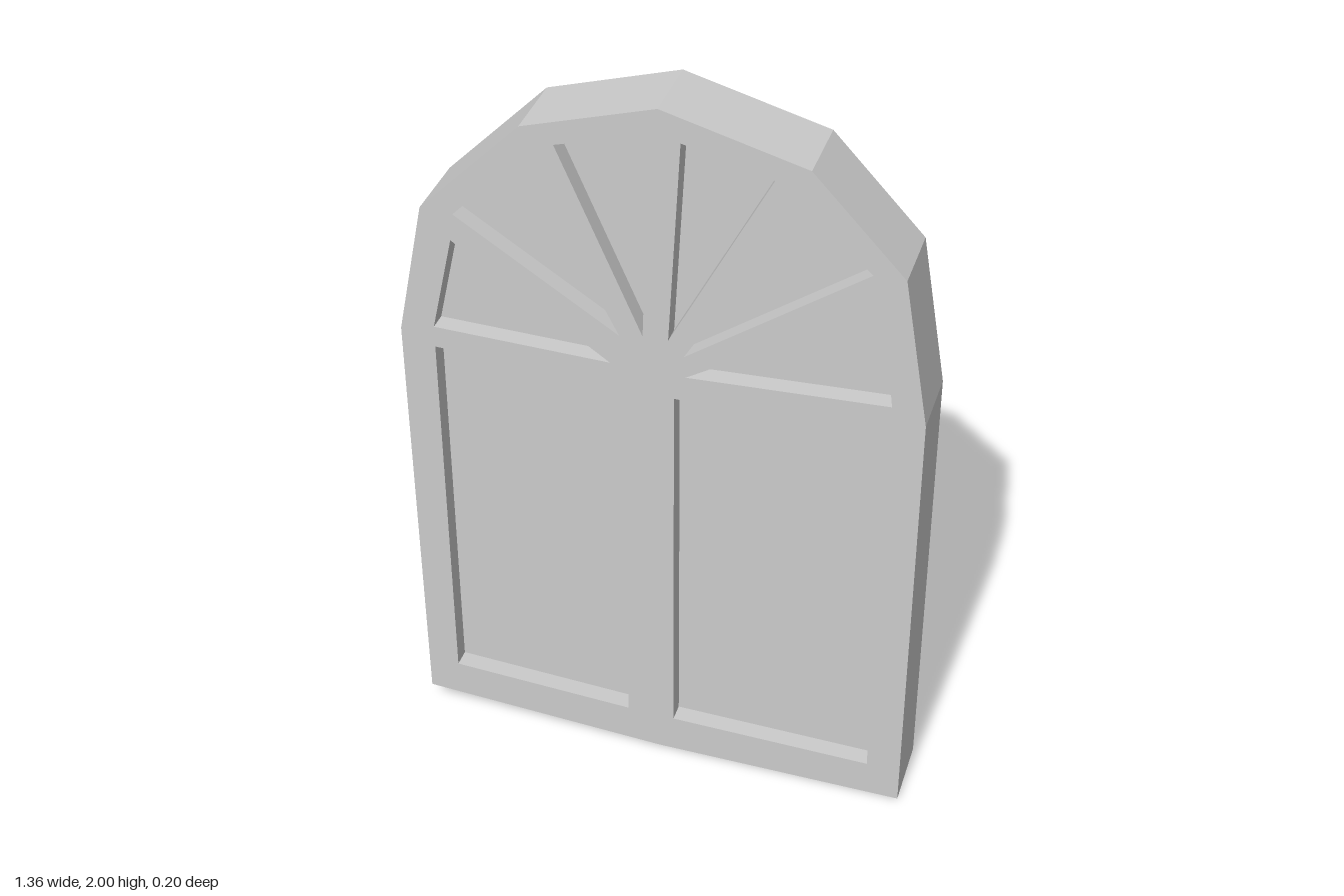
import * as THREE from 'three';

const BACK = -0.103, FRONT = 0.097, RECESS = 0.05;

// Slightly irregular arched silhouette, counter-clockwise
const outline = [
  [-0.675, 0.055], [0, 0.01], [0.675, 0], [0.67, 1.25], [0.6, 1.65],
  [0.365, 1.9], [0, 2], [-0.34, 1.9], [-0.605, 1.635], [-0.68, 1.27],
];

// Two tall lower panes
const lowerPanes = [
  [[-0.59, 1.23], [-0.07, 1.2], [-0.09, 0.125], [-0.59, 0.155]],
  [[0.04, 1.2], [0.57, 1.2], [0.585, 0.105], [0.04, 0.12]],
];

// Six wedge panes fanning out from the hub
const fanPanes = [
  [[-0.59, 1.29], [-0.53, 1.555], [-0.125, 1.275]],
  [[-0.52, 1.63], [-0.335, 1.82], [-0.1, 1.36]],
  [[-0.255, 1.865], [-0.02, 1.93], [-0.04, 1.37]],
  [[0.055, 1.92], [0.28, 1.86], [0.025, 1.37]],
  [[0.35, 1.815], [0.52, 1.65], [0.065, 1.33]],
  [[0.55, 1.565], [0.585, 1.29], [0.07, 1.27]],
];

const toPoints = (list) => list.map(([x, y]) => new THREE.Vector2(x, y));

// Flat slab between two depths, optionally pierced
function slab(name, material, z0, z1, holes = []) {
  const shape = new THREE.Shape(toPoints(outline));
  shape.holes = holes.map((h) => new THREE.Path(toPoints(h)));
  const geometry = new THREE.ExtrudeGeometry(shape, { depth: z1 - z0, bevelEnabled: false });
  geometry.translate(0, 0, z0);
  const mesh = new THREE.Mesh(geometry, material);
  mesh.name = name;
  return mesh;
}

export function createModel() {
  const group = new THREE.Group();
  group.name = 'archedWindow';
  const material = new THREE.MeshStandardMaterial({ color: 0xcccccc, flatShading: true });

  // Solid backing whose front face forms the recessed panes
  group.add(slab('backPanel', material, BACK, FRONT - RECESS));
  // Raised frame and glazing bars
  group.add(slab('frame', material, FRONT - RECESS, FRONT, [...lowerPanes, ...fanPanes]));
  return group;
}
